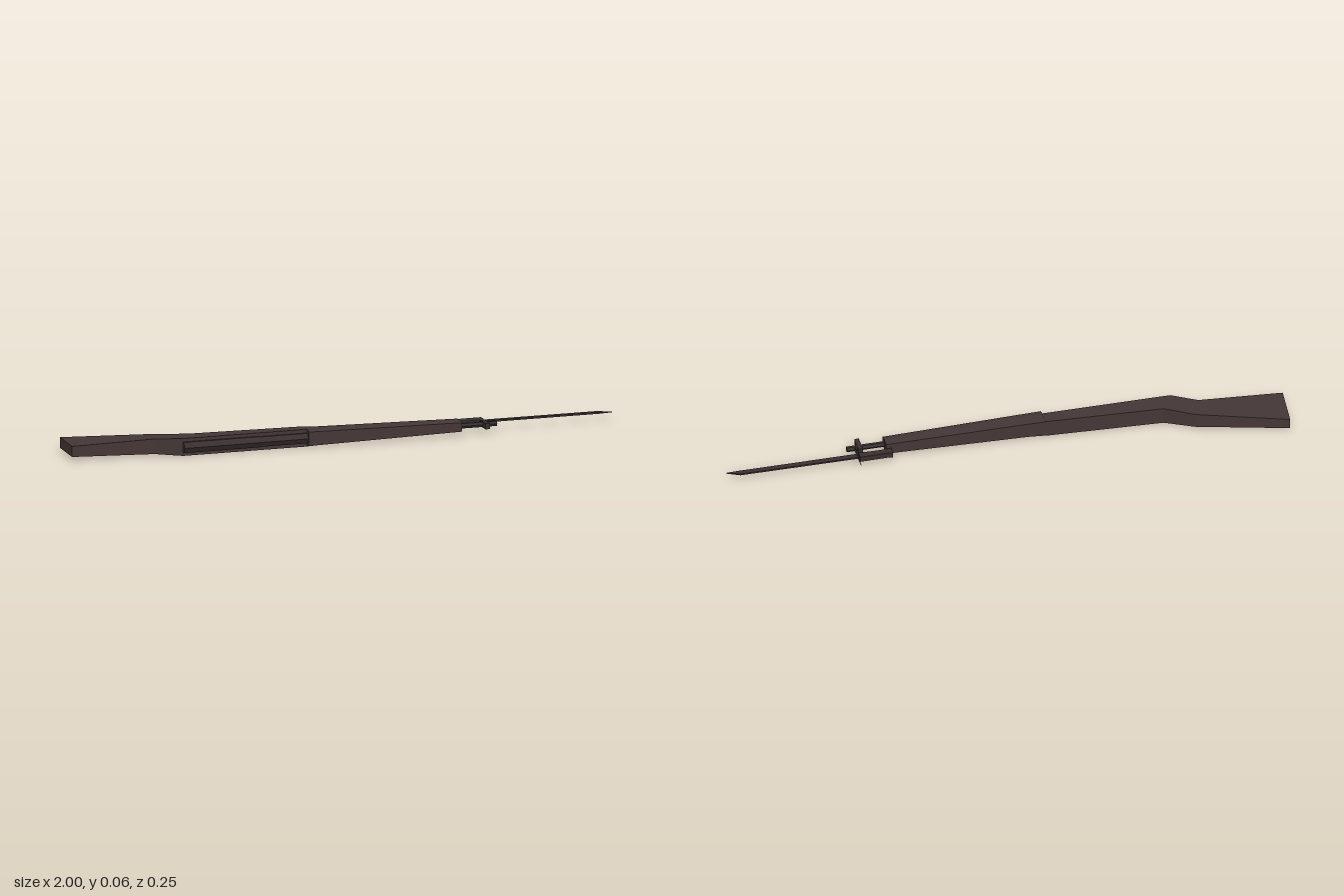
import * as THREE from 'three';

const MID = 0.032; // height of the centre plane

// Low-poly loft along x. Each section: [x at lower edge, z lower, x at upper edge, z upper, half width, upper half width]
function loft(sections, chamfer = 0) {
  const rings = sections.map(([xl, zl, xu, zu, h, hu = h]) => [
    [xl, MID - h, zl], [xl, MID + h, zl],
    [xu, MID + h, zu - chamfer], [xu, MID + hu, zu],
    [xu, MID - hu, zu], [xu, MID - h, zu - chamfer],
  ]);
  const pos = [];
  const tri = (...pts) => pts.forEach((p) => pos.push(...p));
  const n = 6;
  for (let s = 0; s < rings.length - 1; s++) {
    const a = rings[s], b = rings[s + 1];
    for (let j = 0; j < n; j++) {
      const k = (j + 1) % n;
      tri(a[j], a[k], b[k]);
      tri(a[j], b[k], b[j]);
    }
  }
  const first = rings[0], last = rings[rings.length - 1];
  for (let j = 1; j < n - 1; j++) {
    tri(first[0], first[j + 1], first[j]);
    tri(last[0], last[j], last[j + 1]);
  }
  const g = new THREE.BufferGeometry();
  g.setAttribute('position', new THREE.Float32BufferAttribute(pos, 3));
  g.computeVertexNormals();
  return g;
}

// Six-sided rod lying along x
function rod(x0, x1, z, r) {
  return new THREE.CylinderGeometry(r, r, x1 - x0, 6).toNonIndexed()
    .rotateZ(-Math.PI / 2).translate((x0 + x1) / 2, MID, z);
}

function box(x0, x1, h, z0, z1) {
  return new THREE.BoxGeometry(x1 - x0, h * 2, z1 - z0)
    .translate((x0 + x1) / 2, MID, (z0 + z1) / 2);
}

export function createModel() {
  const wood = new THREE.MeshStandardMaterial({ color: 0x443636 });
  wood.name = 'dark wood';
  const metal = new THREE.MeshStandardMaterial({ color: 0x3a3030 });
  metal.name = 'dark metal';
  wood.flatShading = metal.flatShading = true;

  const model = new THREE.Group();
  model.name = 'rifle';
  const add = (name, geometry, material) => {
    const mesh = new THREE.Mesh(geometry, material);
    mesh.name = name;
    model.add(mesh);
  };

  // Butt, wrist and body of the stock
  add('stock', loft([
    [-0.99, -0.128, -1.0, 0.028, 0.019],
    [-0.67, -0.033, -0.70, 0.045, 0.027],
    [-0.57, 0.02, -0.61, 0.09, 0.031],
    [-0.15, 0.043, -0.15, 0.092, 0.031],
  ]), wood);

  // Fore-end with chamfered upper edges
  add('foreEnd', loft([
    [-0.15, 0.043, -0.15, 0.113, 0.03, 0.025],
    [-0.09, 0.047, -0.09, 0.113, 0.028, 0.024],
    [0.42, 0.058, 0.42, 0.11, 0.02, 0.016],
  ], 0.018), wood);

  // Receiver set into the stock, in two lengths
  add('receiverRear', rod(-0.61, -0.33, 0.089, 0.022), metal);
  add('receiverFront', rod(-0.33, -0.15, 0.089, 0.0205), metal);

  // Barrel and front sight
  add('barrel', rod(0.4, 0.555, 0.089, 0.01), metal);
  add('frontSight', box(0.502, 0.518, 0.0105, 0.066, 0.127), metal);

  // Bayonet: grip, tapering cross guard and blade
  add('bayonetGrip', loft([
    [0.405, 0.02, 0.402, 0.053, 0.01, 0.007],
    [0.425, 0.022, 0.425, 0.049, 0.01, 0.007],
    [0.522, 0.021, 0.522, 0.051, 0.01, 0.007],
  ], 0.006), metal);
  add('crossGuard', new THREE.CylinderGeometry(0.009, 0.002, 0.098, 4)
    .rotateX(Math.PI / 2).scale(0.5, 1, 1).translate(0.526, MID, 0.039), metal);
  add('blade', loft([
    [0.52, 0.031, 0.52, 0.052, 0.003, 0.002],
    [0.95, 0.034, 0.95, 0.053, 0.003, 0.002],
    [0.995, 0.052, 0.998, 0.054, 0.001, 0.001],
  ]), metal);

  return model;
}
